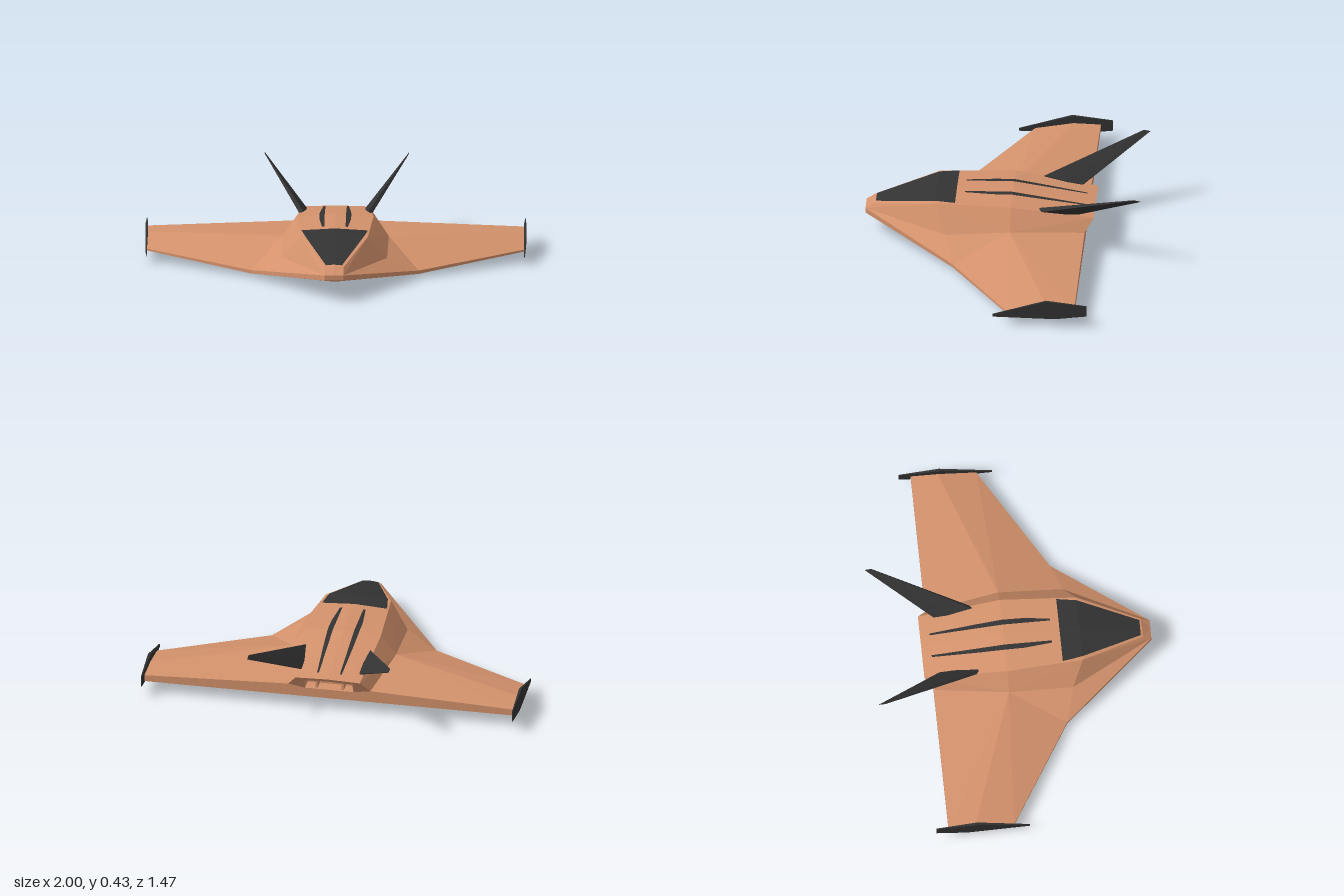
import * as THREE from 'three';
import { ConvexGeometry } from 'three/addons/geometries/ConvexGeometry.js';

const paint = new THREE.MeshStandardMaterial({ color: 0xd4926c, flatShading: true });
const dark = new THREE.MeshStandardMaterial({ color: 0x333333, flatShading: true });
const darkSheet = new THREE.MeshStandardMaterial({ color: 0x333333, flatShading: true, side: THREE.DoubleSide });

const v = (x, y, z) => new THREE.Vector3(x, y, z);
const UP = v(0, 1, 0), DOWN = v(0, -1, 0), BACK = v(0, 0, -1), FRONT = v(0, 0, 1);
const OUT = v(1, 0, 0), IN = v(-1, 0, 0), RIM = v(1, 0, 1);

// Collects polygons as triangles, each wound to face along a hint direction
class Facets {
  constructor() { this.pos = []; }
  add(hint, ...p) {
    for (let i = 1; i < p.length - 1; i++) {
      let [a, b, c] = [p[0], p[i], p[i + 1]];
      const n = b.clone().sub(a).cross(c.clone().sub(a));
      if (n.dot(hint) < 0) [b, c] = [c, b];
      this.pos.push(...a.toArray(), ...b.toArray(), ...c.toArray());
    }
  }
  // The same polygon on both halves
  both(hint, ...p) {
    this.add(hint, ...p);
    const flip = (q) => v(-q.x, q.y, q.z);
    this.add(flip(hint), ...p.map(flip));
  }
  mesh(name, material) {
    const g = new THREE.BufferGeometry();
    g.setAttribute('position', new THREE.Float32BufferAttribute(this.pos, 3));
    g.computeVertexNormals();
    const m = new THREE.Mesh(g, material);
    m.name = name;
    return m;
  }
}

// Fuselage deck stations: z, half width, edge height, centre height
const deck = [
  [0.69, 0.05, 0.17, 0.175],
  [0.36, 0.175, 0.25, 0.26],
  [-0.04, 0.2, 0.255, 0.268],
  [-0.475, 0.172, 0.195, 0.2],
];

function deckY(x, z) {
  let i = 0;
  while (i < 2 && z < deck[i + 1][0]) i++;
  const a = deck[i], b = deck[i + 1], t = (a[0] - z) / (a[0] - b[0]);
  const [, w, e, c] = a.map((q, k) => q + (b[k] - q) * t);
  return c + (e - c) * Math.min(1, Math.abs(x) / w);
}

function makeHull() {
  const f = new Facets();
  const U = deck.map(([z, w, e]) => v(w, e, z)), C = deck.map(([z, , , c]) => v(0, c, z));
  // Underside keel and lower rim
  const N0 = v(0, 0.11, 0.735), B1 = v(0, 0, 0.34), B2 = v(0, 0, -0.04), B3 = v(0, 0.065, -0.43);
  const N = v(0.05, 0.11, 0.735), K = v(0.44, 0.02, 0.25), T = v(0.99, 0.055, -0.085), R = v(0.99, 0.065, -0.43);
  // Upper rim, wing crest and body root
  const n0 = v(0, 0.138, 0.735), n = v(0.05, 0.138, 0.735), k = v(0.44, 0.038, 0.25);
  const t = v(0.99, 0.065, -0.085), p = v(0.99, 0.105, -0.29), r = v(0.99, 0.1, -0.43);
  const F = v(0.275, 0.12, 0.3), A = v(0.28, 0.15, -0.04), S = v(0.22, 0.13, -0.43);
  // Underside
  f.both(DOWN, N0, N, B1);
  f.both(DOWN, N, K, B1);
  f.both(DOWN, B1, K, B2);
  f.both(DOWN, K, T, B2);
  f.both(DOWN, T, R, B2);
  f.both(DOWN, R, B3, B2);
  // Rim and nose
  f.both(FRONT, N0, N, n, n0);
  f.both(RIM, N, K, k, n);
  f.both(RIM, K, T, t, k);
  f.both(OUT, T, R, r, p, t);
  f.both(UP, n0, n, U[0], C[0]);
  // Wing tops
  f.both(UP, n, k, F);
  f.both(UP, k, A, F);
  f.both(UP, k, t, A);
  f.both(UP, t, p, A);
  f.both(UP, A, p, r, S);
  // Fuselage walls and deck
  f.both(UP, n, F, U[1]);
  f.both(UP, n, U[1], U[0]);
  f.both(UP, F, A, U[1]);
  f.both(UP, A, U[2], U[1]);
  f.both(UP, A, S, U[3], U[2]);
  for (let i = 0; i < 3; i++) f.both(UP, C[i], U[i], U[i + 1], C[i + 1]);
  // Trailing edge and frame round the exhaust
  const D = v(0.13, 0.115, -0.43), D0 = v(0, 0.115, -0.43), E = v(0.13, 0.178, -0.465), E0 = v(0, 0.183, -0.465);
  f.both(BACK, D0, B3, R, D);
  f.both(BACK, D, R, S);
  f.both(BACK, S, R, r);
  f.both(BACK, S, U[3], E, D);
  f.both(BACK, U[3], C[3], E0, E);
  // Exhaust recess
  const [d, d0, e, e0] = [D, D0, E, E0].map((q) => v(q.x, q.y, -0.36));
  f.both(BACK, d0, d, e, e0);
  f.both(UP, D0, D, d, d0);
  f.both(DOWN, E0, E, e, e0);
  f.both(IN, D, E, e, d);
  return f.mesh('hull', paint);
}

// Thin panel following the deck; rows are [z, x from, x to]
function deckPanel(name, rows, lift = 0.005) {
  const f = new Facets(), cols = 4;
  const at = ([z, a, b], j) => {
    const x = a + (b - a) * j / cols;
    return v(x, deckY(x, z) + lift, z);
  };
  for (let i = 0; i < rows.length - 1; i++)
    for (let j = 0; j < cols; j++)
      f.add(UP, at(rows[i], j), at(rows[i], j + 1), at(rows[i + 1], j + 1), at(rows[i + 1], j));
  return f.mesh(name, darkSheet);
}

// Thin solid from outline points [x, y, z, half thickness] spread along a direction
function blade(name, points, dir, side) {
  const hull = [];
  for (const [x, y, z, h] of points)
    for (const s of [-h, h]) hull.push(v(side * (x + dir.x * s), y + dir.y * s, z));
  const m = new THREE.Mesh(new ConvexGeometry(hull), dark);
  m.name = name;
  return m;
}

export function createModel() {
  const model = new THREE.Group();
  model.name = 'spacecraft';
  model.add(makeHull());

  // Cockpit canopy
  const canopy = [[0.68, 0.042], [0.52, 0.1], [0.36, 0.157], [0.3, 0.167], [0.255, 0.174]];
  model.add(deckPanel('canopy', canopy.map(([z, w]) => [z, -w, w])));

  for (const [label, s] of [['left', 1], ['right', -1]]) {
    // Long vents on the deck
    const vent = [[0.21, 0.068], [0.06, 0.083], [-0.04, 0.084], [-0.18, 0.079], [-0.425, 0.066]];
    model.add(deckPanel(label + 'Vent', vent.map(([z, x]) => [z, s * 0.056, s * x])));

    // Canted tail fin
    model.add(blade(label + 'TailFin', [
      [0.18, 0.235, -0.19, 0.012], [0.165, 0.215, -0.3, 0.012], [0.15, 0.2, -0.385, 0.003],
      [0.378, 0.424, -0.7, 0.002], [0.378, 0.418, -0.735, 0.001],
    ], v(-0.7, 0.7, 0), s));

    // Wingtip plate
    model.add(blade(label + 'Winglet', [
      [0.993, 0.045, 0, 0.002], [0.993, 0.06, 0, 0.002], [0.993, 0.147, -0.28, 0.007],
      [0.993, 0.125, -0.495, 0.002], [0.993, 0.065, -0.495, 0.002], [0.993, 0.045, -0.33, 0.007],
    ], v(1, 0, 0), s));

    // Divider in the exhaust
    const divider = new THREE.Mesh(new THREE.BoxGeometry(0.012, 0.064, 0.06), paint);
    divider.position.set(s * 0.07, 0.148, -0.39);
    divider.name = label + 'ExhaustDivider';
    model.add(divider);
  }
  return model;
}
